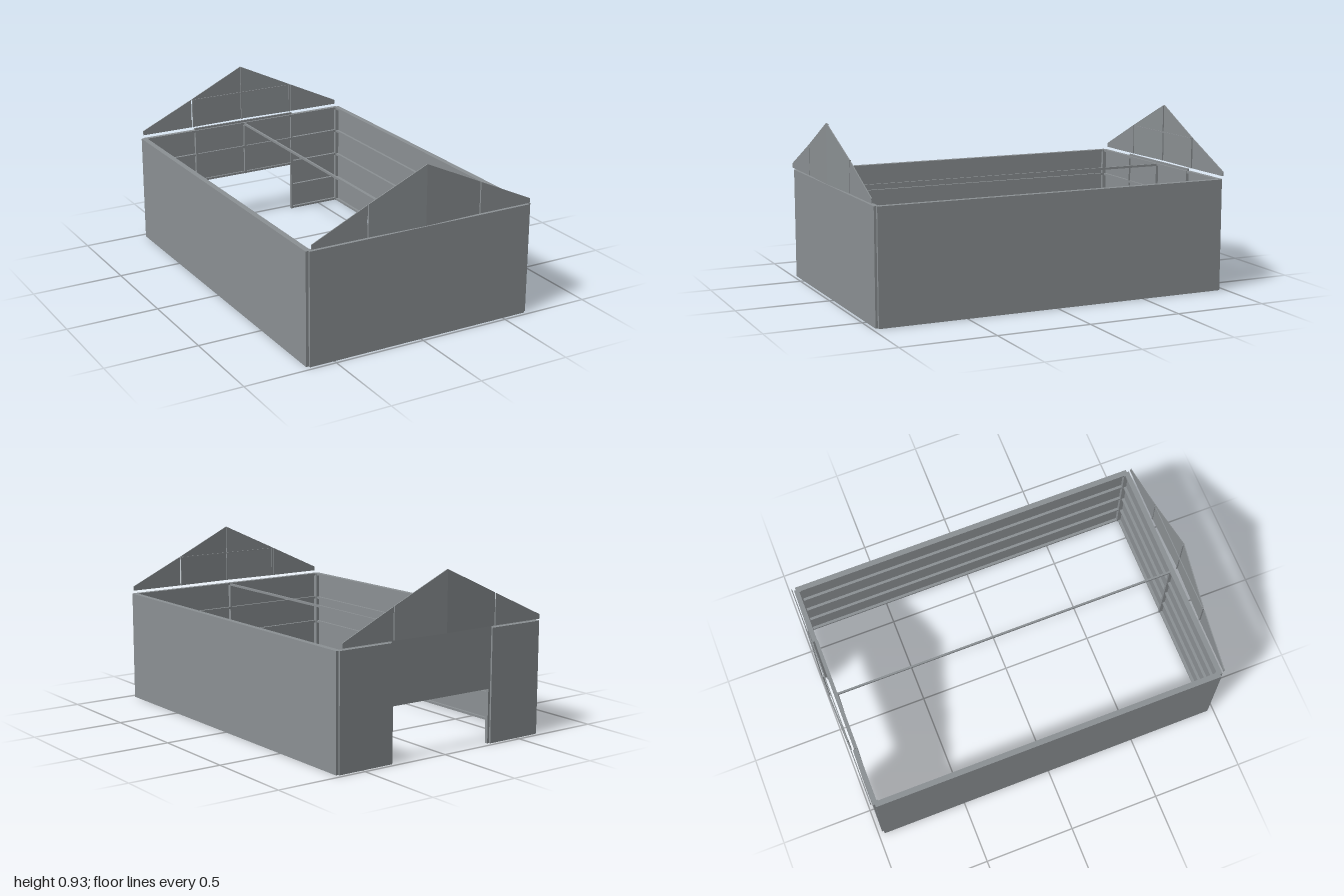
import * as THREE from 'three';

const steel = new THREE.MeshStandardMaterial({ color: 0x8c9194 });
steel.name = 'grey steel';

// Box given by its lower and upper limits on each axis
function block(parent, name, x0, x1, y0, y1, z0, z1) {
  const mesh = new THREE.Mesh(new THREE.BoxGeometry(x1 - x0, y1 - y0, z1 - z0), steel);
  mesh.position.set((x0 + x1) / 2, (y0 + y1) / 2, (z0 + z1) / 2);
  mesh.name = name;
  parent.add(mesh);
  return mesh;
}

const H = 0.6;                                   // wall height
const W = 0.635;                                 // inner face of the side sheets
const RAILS = [0.006, 0.15, 0.3, 0.45, 0.594];   // rail heights
const R = 0.006;                                 // half a rail's height
const DOOR = 0.32, DOOR_TOP = 0.285;

function sideWall(side) {
  const g = new THREE.Group();
  g.name = side > 0 ? 'leftWall' : 'rightWall';
  const [a, b] = side > 0 ? [W, 0.65] : [-0.65, -W];
  block(g, 'sideSheet', a, b, 0, H, -0.968, 0.968);
  const [c, d] = side > 0 ? [0.62, W] : [-W, -0.62];
  for (const y of RAILS) block(g, 'sideRail', c, d, y - R, y + R, -0.96, 0.96);
  for (const [z0, z1] of [[-0.966, -0.945], [0.945, 0.968]])
    block(g, 'cornerPost', c - (side < 0 ? 0 : 0.004), d + (side < 0 ? 0.004 : 0), 0, H, z0, z1);
  return g;
}

function frontWall() {
  const g = new THREE.Group();
  g.name = 'frontWall';
  block(g, 'frontSheet', -W, W, 0, H, 0.968, 0.98);
  for (const y of RAILS) block(g, 'frontRail', -W, W, y - R, y + R, 0.953, 0.968);
  block(g, 'frontPost', -R, R, 0, H, 0.948, 0.968);
  return g;
}

function backWall() {
  const g = new THREE.Group();
  g.name = 'backWall';
  for (const s of [-1, 1]) {
    const [a, b] = s > 0 ? [DOOR, W] : [-W, -DOOR];
    block(g, 'backSheet', a, b, 0, H, -0.978, -0.968);
    for (const y of RAILS) block(g, 'backRail', a, b, y - R, y + R, -0.968, -0.953);
    block(g, 'doorPost', s * 0.314 - R, s * 0.314 + R, 0, H, -0.968, -0.95);
  }
  // panel over the doorway
  block(g, 'lintelSheet', -DOOR, DOOR, DOOR_TOP, 0.612, -0.968, -0.96);
  for (const y of [DOOR_TOP + R, 0.45, 0.594])
    block(g, 'lintelRail', -DOOR, DOOR, y - R, y + R, -0.96, -0.95);
  block(g, 'lintelPost', -R, R, DOOR_TOP, H, -0.96, -0.946);
  return g;
}

// Upright sheet cut to the roof slope
const roofY = x => 0.93 - Math.abs(x) * 0.293 / 0.63;
function gableSheet(x0, x1, fold) {
  const shape = new THREE.Shape([
    new THREE.Vector2(x0, 0.613), new THREE.Vector2(x1, 0.613),
    new THREE.Vector2(x1, roofY(x1)), new THREE.Vector2(x0, roofY(x0)),
  ]);
  const geo = new THREE.ExtrudeGeometry(shape, { depth: 0.005, bevelEnabled: false });
  const p = geo.attributes.position;
  for (let i = 0; i < p.count; i++)
    p.setZ(i, p.getZ(i) + 0.985 + fold * (1 - Math.abs(p.getX(i)) / DOOR));
  geo.computeVertexNormals();
  const mesh = new THREE.Mesh(geo, steel);
  mesh.name = 'gableSheet';
  return mesh;
}

function gable(name) {
  const g = new THREE.Group();
  g.name = name;
  g.add(gableSheet(-0.63, -0.326, 0), gableSheet(0.326, 0.63, 0));
  g.add(gableSheet(-DOOR, 0, 0.01), gableSheet(0, DOOR, 0.01)); // slightly folded middle
  block(g, 'gablePost', -0.003, 0.003, 0.613, 0.925, 0.988, 0.996);
  for (const s of [-1, 1])
    block(g, 'gableSidePost', s * 0.317 - 0.003, s * 0.317 + 0.003, 0.613, 0.78, 0.981, 0.986);
  block(g, 'gableRail', -0.31, 0.31, 0.773, 0.779, 0.982, 0.987);
  return g;
}

export function createModel() {
  const model = new THREE.Group();
  model.name = 'shedFrame';
  model.add(sideWall(1), sideWall(-1), frontWall(), backWall());
  const backGable = gable('backGable');
  backGable.rotation.y = Math.PI;
  model.add(gable('frontGable'), backGable);
  // long beam between the end walls
  block(model, 'centreBeam', -0.005, 0.005, 0.585, 0.597, -0.95, 0.953);
  return model;
}
